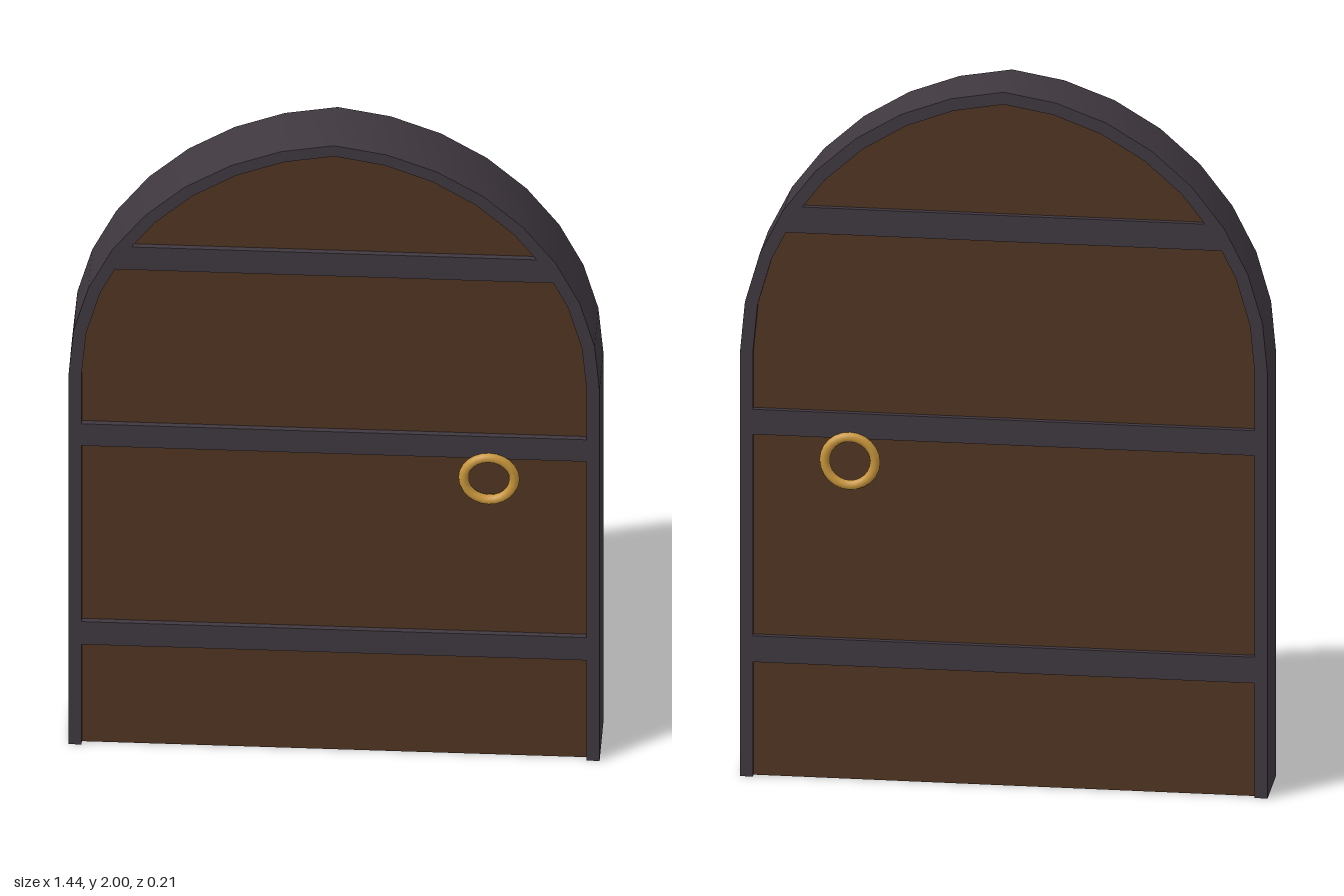
import * as THREE from 'three';
import { toCreasedNormals } from 'three/addons/utils/BufferGeometryUtils.js';

const HALF_WIDTH = 0.72, SPRING = 1.22, FRAME_WIDTH = 0.035;
const FRAME_HALF = 0.092, PANEL_HALF = 0.076;
// Slightly pointed arch: each side is an arc centred just past the middle line
const OFFSET = 0.0625, RADIUS = HALF_WIDTH + OFFSET;

// Arch outline from bottom right, over the peak, to bottom left
function archPoints(inset, steps = 8) {
  const r = RADIUS - inset;
  const peak = Math.acos(OFFSET / r);
  const right = [new THREE.Vector2(HALF_WIDTH - inset, 0)];
  for (let i = 0; i <= steps; i++) {
    const a = (peak * i) / steps;
    right.push(new THREE.Vector2(r * Math.cos(a) - OFFSET, SPRING + r * Math.sin(a)));
  }
  const left = right.slice(0, -1).reverse().map((p) => new THREE.Vector2(-p.x, p.y));
  return [...right, ...left];
}

// Half width of the opening at a given height
function openingAt(y) {
  const r = RADIUS - FRAME_WIDTH;
  const h = Math.max(0, y - SPRING);
  return Math.sqrt(r * r - h * h) - OFFSET;
}

// Flat outline extruded evenly to both sides of z = 0
function slab(points, half, material, name) {
  const geometry = new THREE.ExtrudeGeometry(new THREE.Shape(points), {
    depth: half * 2, bevelEnabled: false,
  });
  geometry.translate(0, 0, -half);
  const mesh = new THREE.Mesh(toCreasedNormals(geometry, 0.35), material);
  mesh.name = name;
  return mesh;
}

export function createModel() {
  const iron = new THREE.MeshStandardMaterial({ color: 0x3f383f });
  iron.name = 'dark iron';
  const wood = new THREE.MeshStandardMaterial({ color: 0x503422 });
  wood.name = 'brown wood';
  const brass = new THREE.MeshStandardMaterial({ color: 0xc8963c });
  brass.name = 'brass';

  const door = new THREE.Group();
  door.name = 'archedDoor';

  // Frame, open at the bottom, around the recessed panel
  const inner = archPoints(FRAME_WIDTH);
  door.add(slab([...archPoints(0), ...inner.slice().reverse()], FRAME_HALF, iron, 'frame'));
  door.add(slab(inner, PANEL_HALF, wood, 'panel'));

  // Cross bars, flush with the frame, with ends following the arch
  [[0.33, 0.405], [0.985, 1.057], [1.57, 1.645]].forEach(([low, high], i) => {
    const a = openingAt(low) + 0.003, b = openingAt(high) + 0.003;
    const corners = [[-a, low], [a, low], [b, high], [-b, high]];
    const points = corners.map(([x, y]) => new THREE.Vector2(x, y));
    door.add(slab(points, FRAME_HALF, iron, `crossBar${i + 1}`));
  });

  // Ring handle on each face
  for (const [side, name] of [[1, 'frontRing'], [-1, 'backRing']]) {
    const ring = new THREE.Mesh(new THREE.TorusGeometry(0.069, 0.014, 8, 24), brass);
    ring.position.set(0.42, 0.92, side * 0.092);
    ring.name = name;
    door.add(ring);
  }
  return door;
}
